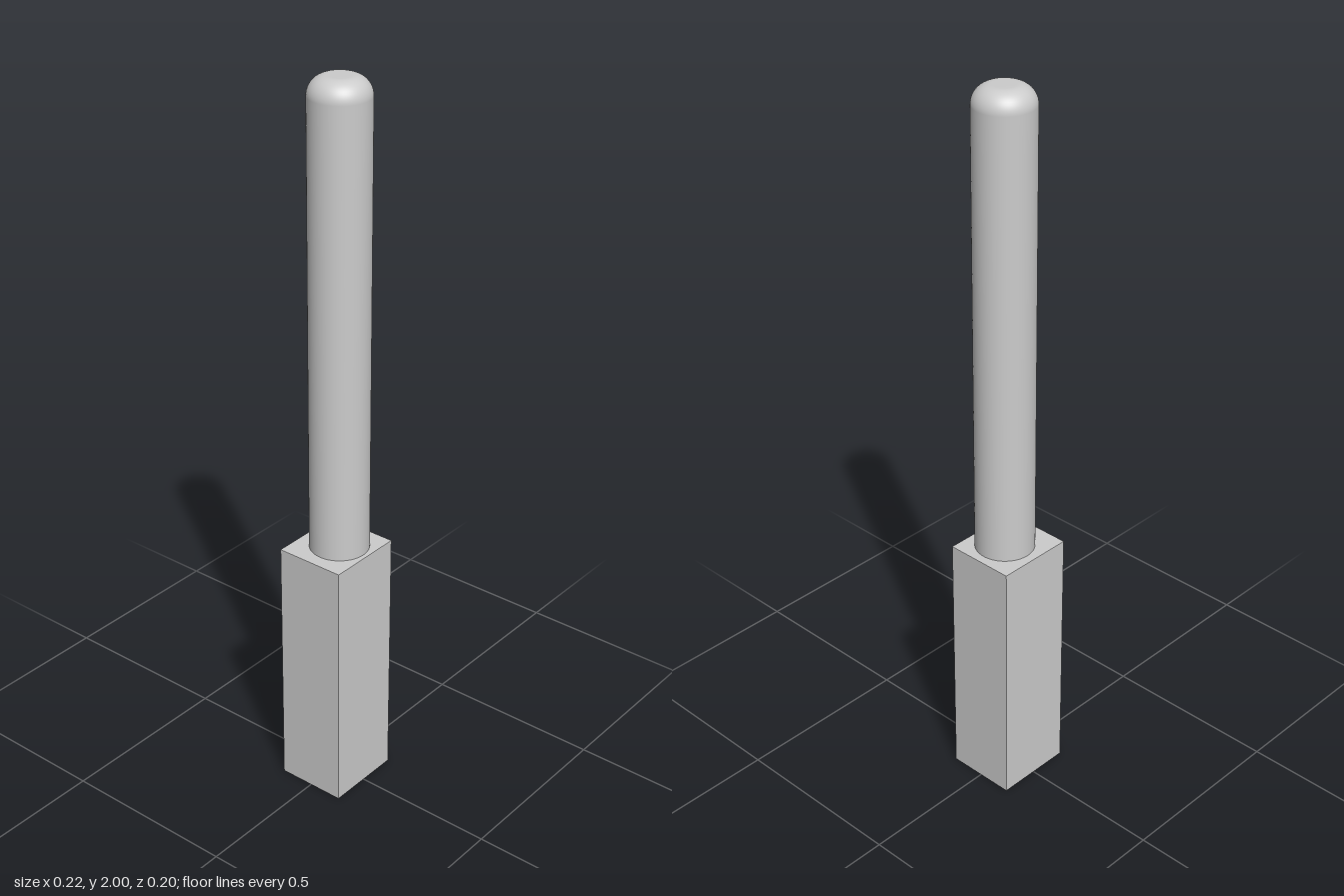
import * as THREE from 'three';

export function createModel() {
  const model = new THREE.Group();
  const material = new THREE.MeshStandardMaterial({ color: 0xcccccc });

  // Rectangular block at the bottom
  const baseHeight = 0.725;
  const base = new THREE.Mesh(new THREE.BoxGeometry(0.22, baseHeight, 0.196), material);
  base.name = 'base';
  base.position.y = baseHeight / 2;
  model.add(base);

  // Round rod with a filleted tip, slightly off the block's centre
  const radius = 0.08, fillet = 0.05, top = 2;
  const profile = [new THREE.Vector2(radius, baseHeight)];
  const steps = 12;
  for (let i = 0; i <= steps; i++) {
    const a = (i / steps) * Math.PI / 2;
    profile.push(new THREE.Vector2(
      radius - fillet + fillet * Math.cos(a),
      top - fillet + fillet * Math.sin(a)
    ));
  }
  profile.push(new THREE.Vector2(0, top));
  const rod = new THREE.Mesh(new THREE.LatheGeometry(profile, 64), material);
  rod.name = 'rod';
  rod.position.set(0.006, 0, 0.006);
  model.add(rod);

  return model;
}
